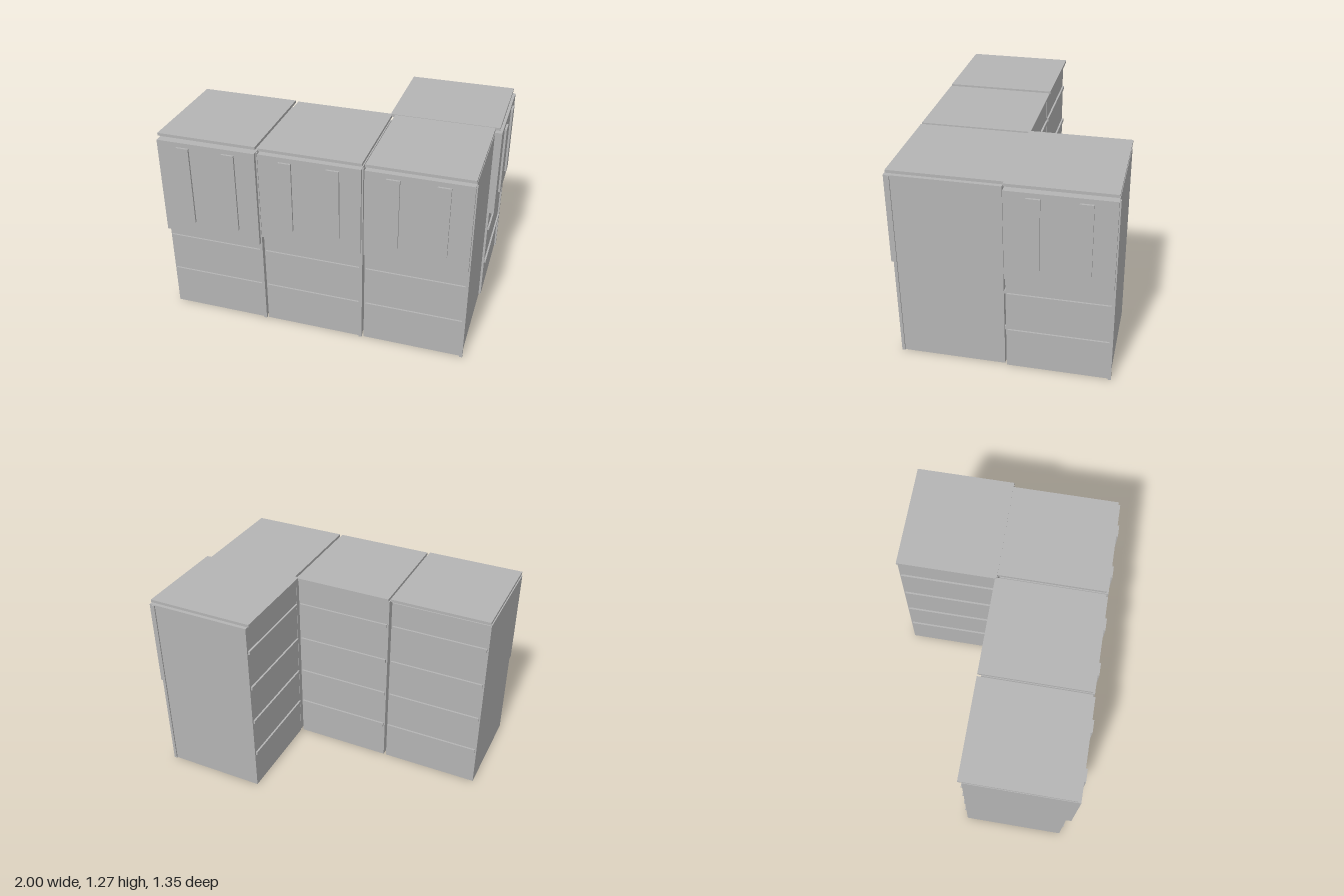
import * as THREE from 'three';

const grey = new THREE.MeshStandardMaterial({ color: 0xb4b4b4 });
grey.name = 'grey';

// Box given by its min and max on each axis
function box(parent, name, x0, x1, y0, y1, z0, z1) {
  const mesh = new THREE.Mesh(new THREE.BoxGeometry(x1 - x0, y1 - y0, z1 - z0), grey);
  mesh.position.set((x0 + x1) / 2, (y0 + y1) / 2, (z0 + z1) / 2);
  mesh.name = name;
  parent.add(mesh);
}

// One cabinet: front faces +z, centred on x
function cabinet(name, top, panelBottom, panelFront) {
  const g = new THREE.Group();
  g.name = name;
  const w = 0.317;

  box(g, 'body', -w, w, 0, 1.235, -0.022, 0.63);

  // Lid on a recessed neck
  box(g, 'lidNeck', -w + 0.03, w - 0.025, 1.235, 1.252, 0.008, 0.6);
  box(g, 'lid', -w, w, top - 0.018, top, -0.045, 0.645);

  // Door panel with two upright handles
  box(g, 'doorPanel', -w, w, panelBottom, 1.235, 0.63, panelFront);
  for (const x of [-0.147, 0.147]) {
    box(g, 'handle', x - 0.04, x + 0.04, panelBottom + 0.09, 1.205, panelFront, panelFront + 0.013);
  }

  // Front rails below the panel and a post at the right edge
  for (const y of [0.267, 0.53]) {
    box(g, 'frontRail', -w + 0.01, w - 0.012, y - 0.011, y + 0.011, 0.63, 0.641);
  }
  box(g, 'cornerPost', w - 0.012, w + 0.008, 0, 1.232, 0.622, 0.641);

  // Back rails
  for (const y of [0.265, 0.528, 0.793, 1.06]) {
    box(g, 'backRail', -w + 0.01, w - 0.01, y - 0.012, y + 0.012, -0.034, -0.022);
  }
  return g;
}

export function createModel() {
  const model = new THREE.Group();
  model.name = 'cabinetRow';

  // Front row
  const left = cabinet('endCabinet', 1.272, 0.597, 0.664);
  left.position.x = -0.683;
  const middle = cabinet('middleCabinet', 1.267, 0.657, 0.659);
  middle.position.x = -0.031;
  const corner = cabinet('cornerCabinet', 1.267, 0.657, 0.659);
  corner.position.x = 0.622;

  // Rear cabinet turned towards +x
  const rear = cabinet('rearCabinet', 1.27, 0.657, 0.66);
  rear.rotation.y = Math.PI / 2;
  rear.position.set(0.322, 0, -0.352);

  model.add(left, middle, corner, rear);
  return model;
}
